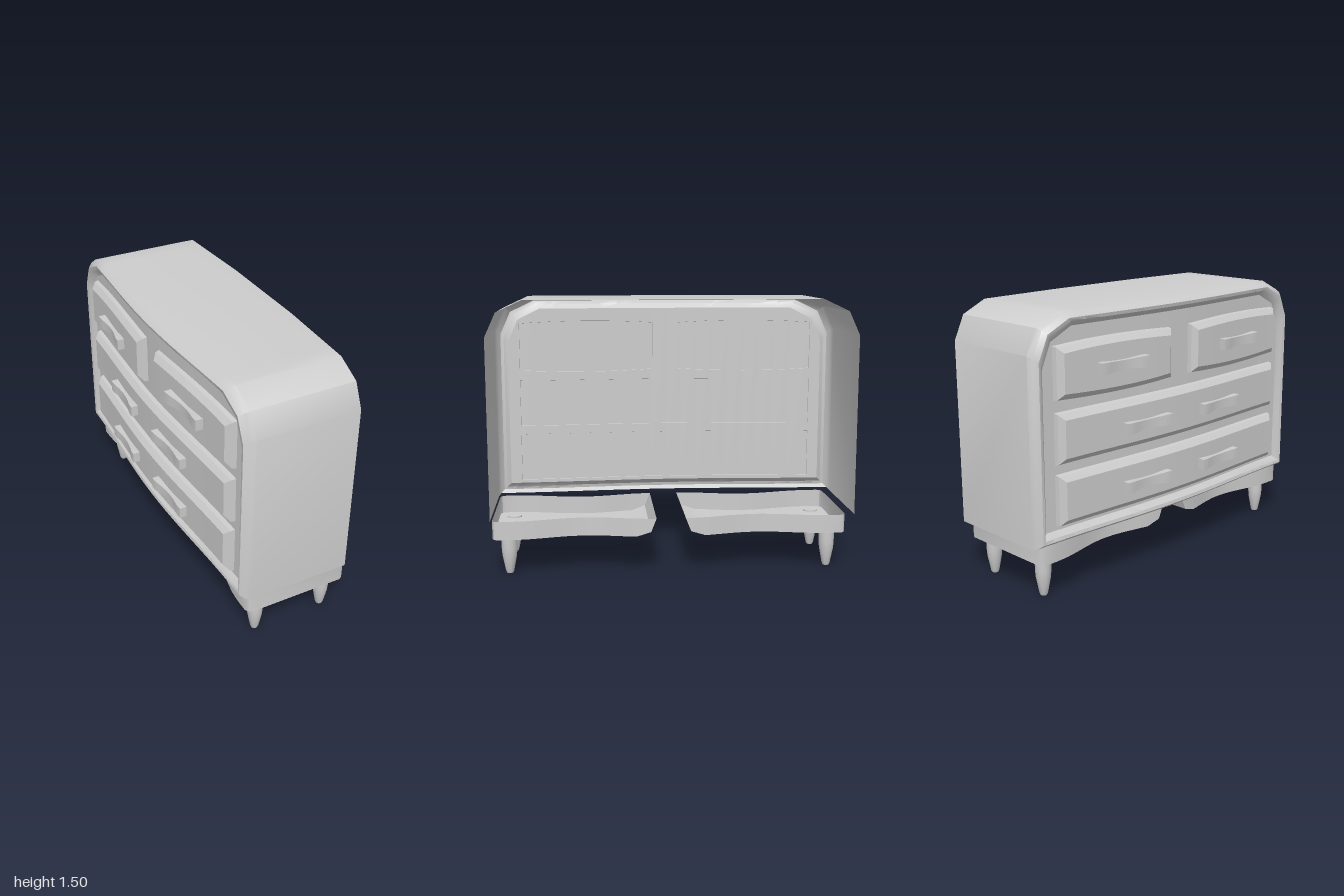
import * as THREE from 'three';
import { toCreasedNormals } from 'three/addons/utils/BufferGeometryUtils.js';

const material = new THREE.MeshStandardMaterial({ color: 0xcccccc, side: THREE.DoubleSide });

// Serpentine bulge of the drawer front, and the slight bulge of the back edge
const frontBow = z => 0.02 * (1 + Math.cos(Math.PI * z));
const backBow = z => 0.025 * THREE.MathUtils.clamp((0.85 - Math.abs(z)) / 0.55, 0, 1);

function addMesh(parent, name, geometry, crease = 0.6) {
  const mesh = new THREE.Mesh(toCreasedNormals(geometry, crease), material);
  mesh.name = name;
  parent.add(mesh);
  return mesh;
}

function fromQuads(points, quads) {
  const g = new THREE.BufferGeometry();
  g.setAttribute('position', new THREE.Float32BufferAttribute(points.flat(), 3));
  g.setIndex(quads.flatMap(([a, b, c, d]) => [a, b, c, a, c, d]));
  return g;
}

// Upright outline (columns of [z, bottom, top]) lofted along x through rings
// { x, inset, back, openBottom }, and closed by a cap on the last ring
function loftFront(columns, rings) {
  const n = columns.length;
  const mid = (columns[0][0] + columns[n - 1][0]) / 2;
  const half = columns[n - 1][0] - mid;
  const points = [], quads = [];
  rings.forEach(({ x, inset, back, openBottom }, r) => {
    const place = (z, y) => {
      const zi = mid + (z - mid) * (1 - inset / half);
      points.push([back ? x + backBow(zi) : x - frontBow(zi), y, zi]);
    };
    for (let i = 0; i < n; i++) place(columns[i][0], columns[i][2] - inset);
    for (let i = n - 1; i >= 0; i--) place(columns[i][0], columns[i][1] + inset);
    if (r === rings.length - 1) return;
    for (let j = 0; j < 2 * n; j++) {
      if (openBottom && j >= n && j < 2 * n - 1) continue;
      const k = (j + 1) % (2 * n), a = r * 2 * n, b = a + 2 * n;
      quads.push([a + j, b + j, b + k, a + k]);
    }
  });
  const c = (rings.length - 1) * 2 * n;
  for (let i = 0; i < n - 1; i++)
    quads.push([c + i, c + 2 * n - 1 - i, c + 2 * n - 2 - i, c + i + 1]);
  return fromQuads(points, quads);
}

// Cabinet: open at the back and below, with a raised lip round a recessed panel
function cabinetGeometry() {
  const columns = [[-1, 0.31, 1.3], [-0.94, 0.31, 1.43]];
  for (let i = -8; i <= 8; i++) columns.push([i / 10, 0.31, 1.495]);
  columns.push([0.94, 0.31, 1.43], [1, 0.31, 1.3]);
  return loftFront(columns, [
    { x: 0.345, inset: 0, back: true, openBottom: true },
    { x: -0.235, inset: 0, openBottom: true },
    { x: -0.265, inset: 0.012 },
    { x: -0.288, inset: 0.03 },
    { x: -0.284, inset: 0.048 },
    { x: -0.255, inset: 0.075 },
  ]);
}

// Drawer front with chamfered rim; crown arches its top and bottom edges
function drawerGeometry(z0, z1, y0, y1, crown) {
  const columns = [], steps = Math.round((z1 - z0) / 0.1);
  for (let i = 0; i <= steps; i++) {
    const t = i / steps, arch = crown * (1 - (2 * t - 1) ** 2);
    columns.push([z0 + (z1 - z0) * t, y0 - arch, y1 + arch]);
  }
  return loftFront(columns, [
    { x: -0.25, inset: 0 }, { x: -0.278, inset: 0.006 }, { x: -0.304, inset: 0.036 },
  ]);
}

// Bar handle, scooped in the middle and following the curved front
function handleGeometry(zc, yc) {
  const g = new THREE.BoxGeometry(0.046, 0.062, 0.32, 1, 1, 10);
  const p = g.attributes.position;
  for (let i = 0; i < p.count; i++) {
    const z = p.getZ(i), scoop = Math.max(0, 1 - (z / 0.12) ** 2);
    const front = p.getX(i) < 0;
    p.setXYZ(i, p.getX(i) - 0.32 - frontBow(z + zc) + (front ? 0.018 * scoop : 0),
      yc + p.getY(i) * (1 - 0.2 * scoop), z + zc);
  }
  return g;
}

// Open base tray with concave long sides and a ramped inner end
function trayGeometry(side) {
  const columns = [[0.08, 0.31], [0.11, 0.235], [0.19, 0.208]];
  for (let i = 1; i <= 10; i++) columns.push([0.19 + 0.075 * i, 0.208]);
  columns.push([0.96, 0.208], [0.97, 0.208]);
  const points = [], quads = [], n = columns.length;
  columns.forEach(([z, y], i) => {
    const dip = z < 0.87 ? 0.06 * Math.sin(Math.PI * (z - 0.08) / 0.79) ** 2 : 0;
    const trim = i === n - 1 ? 0.03 : i === n - 2 ? 0.01 : 0;
    const xl = -0.245 + dip + trim, xr = 0.355 - dip - trim;
    points.push([xl, 0.31, z * side], [xl, y, z * side], [xr, y, z * side], [xr, 0.31, z * side]);
    if (i === 0) return;
    const b = i * 4, a = b - 4;
    for (let k = 0; k < 3; k++) quads.push([a + k, a + k + 1, b + k + 1, b + k]);
  });
  const e = (n - 1) * 4;
  quads.push([e, e + 1, e + 2, e + 3]);
  return fromQuads(points, quads);
}

export function createModel() {
  const model = new THREE.Group();
  model.name = 'dresser';
  addMesh(model, 'cabinet', cabinetGeometry());

  // Drawers: two small ones above two full-width ones
  const drawers = new THREE.Group();
  drawers.name = 'drawers';
  model.add(drawers);
  addMesh(drawers, 'upperDrawerLeft', drawerGeometry(0.075, 0.86, 1.06, 1.335, 0.013));
  addMesh(drawers, 'upperDrawerRight', drawerGeometry(-0.86, -0.075, 1.06, 1.335, 0.013));
  addMesh(drawers, 'middleDrawer', drawerGeometry(-0.86, 0.86, 0.73, 1.0, 0));
  addMesh(drawers, 'bottomDrawer', drawerGeometry(-0.86, 0.86, 0.405, 0.68, 0));

  const handles = new THREE.Group();
  handles.name = 'handles';
  model.add(handles);
  for (const [z, y] of [[0.46, 1.195], [0.29, 0.853], [0.29, 0.532]])
    for (const s of [-1, 1]) addMesh(handles, 'handle', handleGeometry(z * s, y));

  // Base trays and turned legs
  const base = new THREE.Group();
  base.name = 'base';
  base.position.z = 0.02;
  model.add(base);
  const profile = [[0, 0], [0.018, 0], [0.023, 0.012], [0.04, 0.1], [0.043, 0.14], [0.043, 0.215], [0, 0.215]]
    .map(([r, y]) => new THREE.Vector2(r, y));
  for (const s of [-1, 1]) {
    addMesh(base, 'baseTray', trayGeometry(s));
    for (const x of [-0.15, 0.265])
      addMesh(base, 'leg', new THREE.LatheGeometry(profile, 16)).position.set(x, 0, 0.885 * s);
  }
  return model;
}
